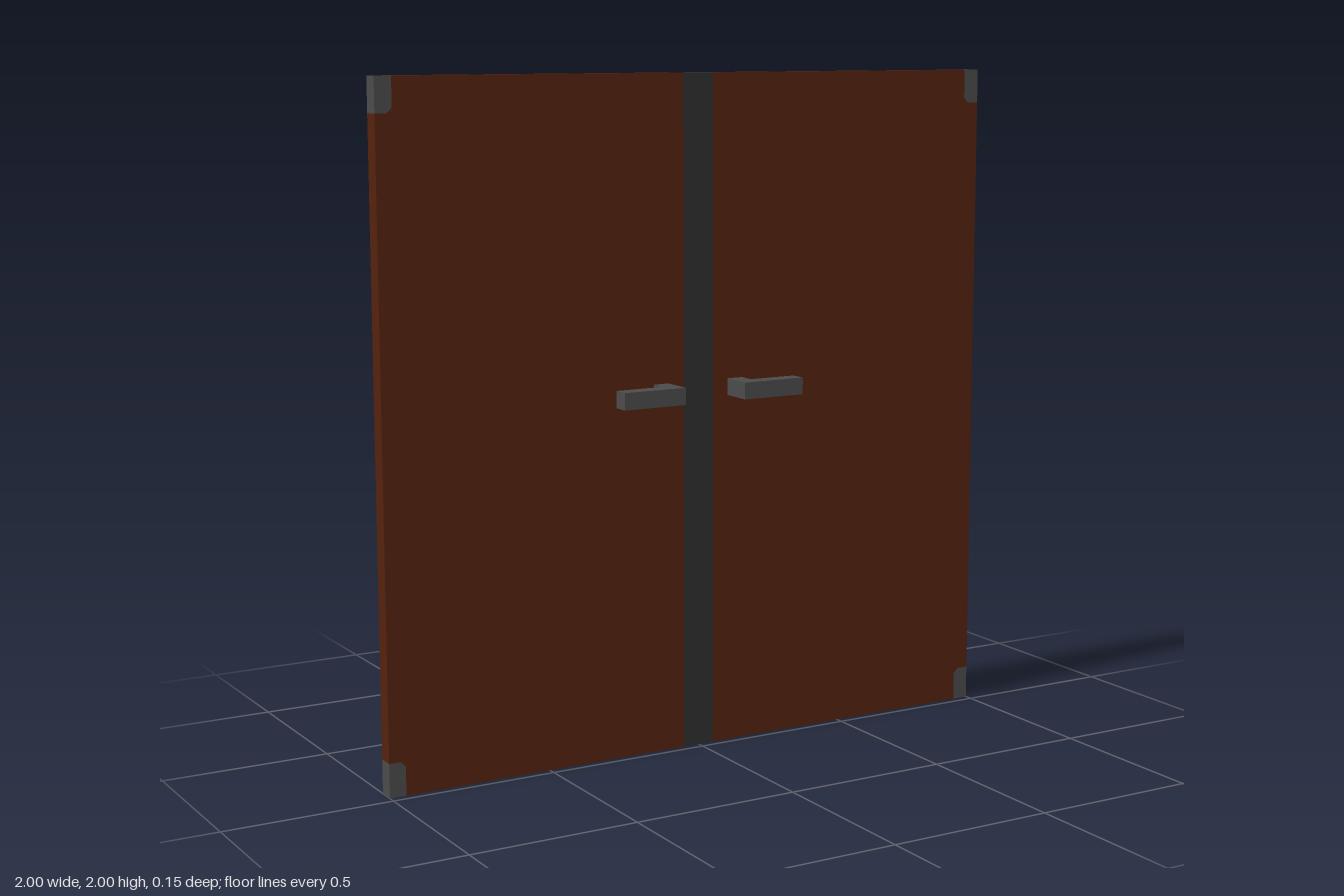
import * as THREE from 'three';

const DEPTH = 0.05, BACK = -0.075;

function material(name, color) {
  const m = new THREE.MeshStandardMaterial({ color });
  m.name = name;
  return m;
}

// Flat outline extruded through the door thickness
function slab(points, mat, name) {
  const shape = new THREE.Shape(points.map(([x, y]) => new THREE.Vector2(x, y)));
  const geo = new THREE.ExtrudeGeometry(shape, { depth: DEPTH, bevelEnabled: false });
  geo.translate(0, 0, BACK);
  const mesh = new THREE.Mesh(geo, mat);
  mesh.name = name;
  return mesh;
}

function box(x0, x1, y0, y1, z0, z1, mat, name) {
  const mesh = new THREE.Mesh(new THREE.BoxGeometry(Math.abs(x1 - x0), y1 - y0, z1 - z0), mat);
  mesh.position.set((x0 + x1) / 2, (y0 + y1) / 2, (z0 + z1) / 2);
  mesh.name = name;
  return mesh;
}

export function createModel() {
  const wood = material('dark brown wood', 0x54220e);
  const iron = material('grey metal', 0x4b4b4b);
  const darkIron = material('dark strip metal', 0x2f2f2f);
  const model = new THREE.Group();
  model.name = 'doubleDoor';

  // Corner bracket edge, running from the door's side edge to its top or bottom edge
  const W = 0.05, H = 0.1, C = 0.015;
  const inner = [[1, H], [1 - W + C, H], [1 - W, H - C], [1 - W, 0]];
  const flip = ([x, y]) => [x, 2 - y];

  for (const side of [1, -1]) {
    const sideName = side > 0 ? 'left' : 'right';
    const mirror = ([x, y]) => [x * side, y];

    // Door leaf, notched around the brackets
    const leaf = [[0.05, 0], ...[...inner].reverse(), ...inner.map(flip), [0.05, 2]];
    model.add(slab(leaf.map(mirror), wood, sideName + 'DoorLeaf'));

    // Corner brackets
    const bracket = [...inner, [1, 0]];
    model.add(slab(bracket.map(mirror), iron, sideName + 'BottomBracket'));
    model.add(slab(bracket.map(flip).map(mirror), iron, sideName + 'TopBracket'));

    // Lever handle: stem and grip
    const handle = new THREE.Group();
    handle.name = sideName + 'Handle';
    handle.add(
      box(0.1 * side, 0.15 * side, 1.055, 1.105, -0.025, 0.025, iron, 'handleStem'),
      box(0.1 * side, 0.3 * side, 1.055, 1.105, 0.025, 0.075, iron, 'handleGrip')
    );
    model.add(handle);
  }

  // Centre strip between the leaves
  model.add(box(-0.05, 0.05, 0, 2, BACK, BACK + DEPTH, darkIron, 'centreStrip'));
  return model;
}
